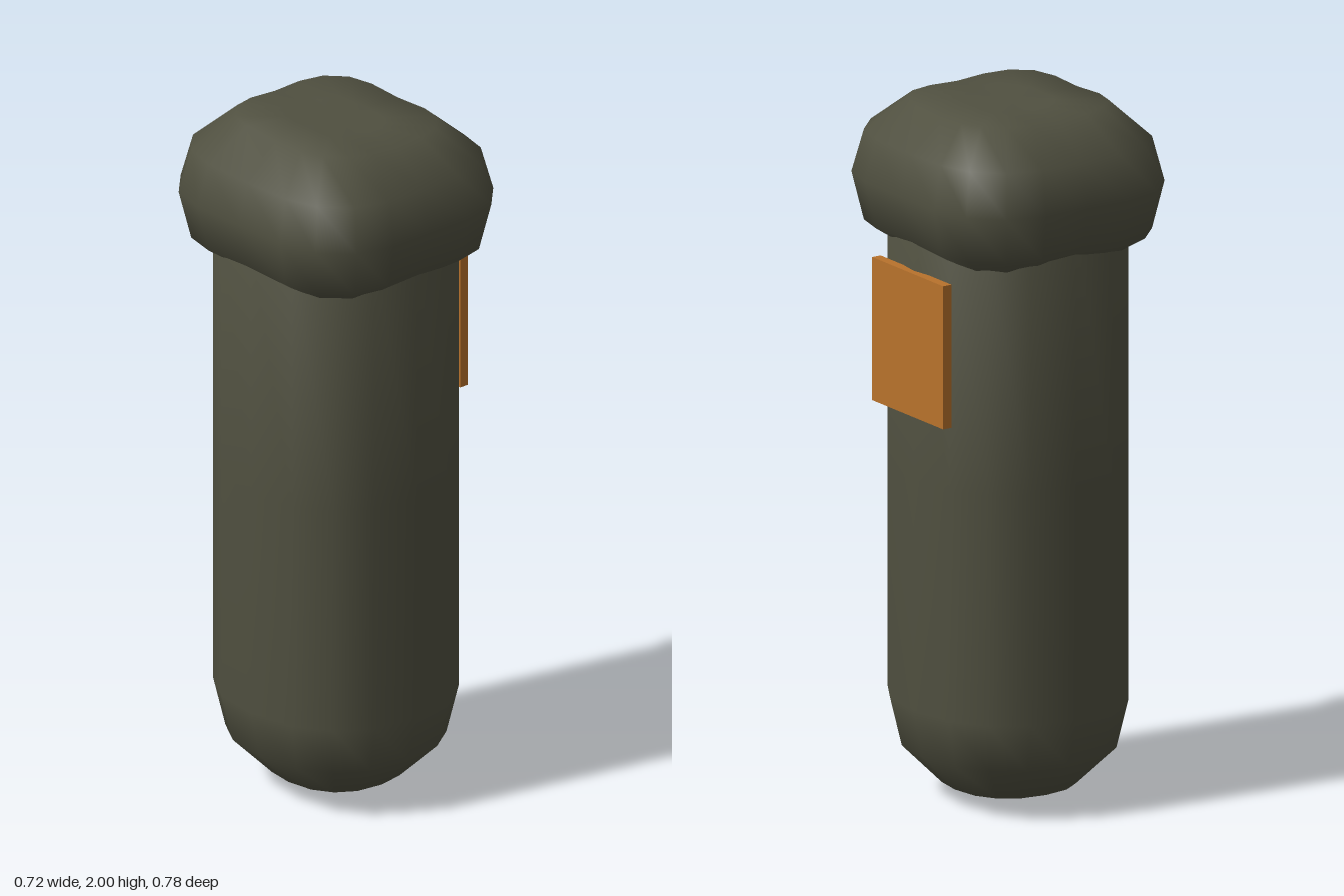
import * as THREE from 'three';

const olive = new THREE.MeshStandardMaterial({ color: 0x505040 });
olive.name = 'dark olive';
const orange = new THREE.MeshStandardMaterial({ color: 0xb8722c });
orange.name = 'burnt orange';

// Smooth skin over rings of points, closed by a pole at each end (rings run bottom to top)
function skin(rings, bottom, top) {
  const n = rings[0].length;
  const points = [...rings.flat(), bottom, top];
  const index = [];
  const b = rings.length * n, t = b + 1, last = (rings.length - 1) * n;
  for (let i = 0; i < n; i++) {
    const j = (i + 1) % n;
    for (let r = 0; r < rings.length - 1; r++) {
      const p = r * n, q = p + n;
      index.push(p + i, p + j, q + i, p + j, q + j, q + i);
    }
    index.push(b, j, i, last + i, last + j, t);
  }
  const geo = new THREE.BufferGeometry();
  geo.setAttribute('position', new THREE.Float32BufferAttribute(points.flat(), 3));
  geo.setIndex(index);
  geo.computeVertexNormals();
  return geo;
}

function part(group, name, geo, material) {
  const mesh = new THREE.Mesh(geo, material);
  mesh.name = name;
  group.add(mesh);
  return mesh;
}

// Rounded power, squares off an oval slightly
const bulge = (v) => Math.sign(v) * Math.abs(v) ** 0.86;

export function createModel() {
  const group = new THREE.Group();
  group.name = 'cappedPost';

  // Body: sixteen-sided, slightly squared shaft with a rounded foot; its top is inside the cap
  const oval = [];
  for (let i = 0; i < 16; i++) {
    const a = -i * Math.PI / 8;
    oval.push([0.315 * bulge(Math.cos(a)), 0.33 * bulge(Math.sin(a))]);
  }
  const bodyRings = [[0.04, 0.56], [0.15, 0.9], [0.29, 1], [0.95, 1], [1.7, 1]]
    .map(([y, s]) => oval.map(([x, z]) => [x * s, y, z * s]));
  part(group, 'body', skin(bodyRings, [0, 0, 0], [0, 1.75, 0]), olive);

  // Cap: pillow with a rounded-square plan, mirrored from one quadrant
  const q = [[0.36, 0], [0.36, 0.17], [0.33, 0.28], [0.25, 0.36], [0.14, 0.39]];
  const quarter = [...q, [0, 0.39]];
  const half = [...quarter, ...q.slice().reverse().map(([x, z]) => [-x, z])];
  const plan = [...half, ...half.slice(1, -1).reverse().map(([x, z]) => [x, -z])].reverse();

  // Each ring: height, scale, corner lift, tilt
  const capRings = [
    [1.58, 0.3, -0.6, 0], [1.58, 0.64, -0.6, 0], [1.64, 0.92, -0.1, 0], [1.77, 1, 0, 0],
    [1.89, 0.92, 0.05, 0.005], [1.983, 0.64, 0.2, 0.02], [1.988, 0.3, 0.2, 0.02],
  ].map(([y, s, lift, tilt]) => plan.map(([px, pz]) => {
    const x = px * s, z = pz * s;
    return [x, y + lift * Math.abs(x * z) - tilt * (x + z * 0.5), z];
  }));
  part(group, 'cap', skin(capRings, [0, 1.58, 0], [0, 1.988, 0]), olive);

  // Flat square badge on the side
  part(group, 'sidePlate', new THREE.BoxGeometry(0.028, 0.41, 0.345), orange)
    .position.set(0.32, 1.345, 0);

  return group;
}
